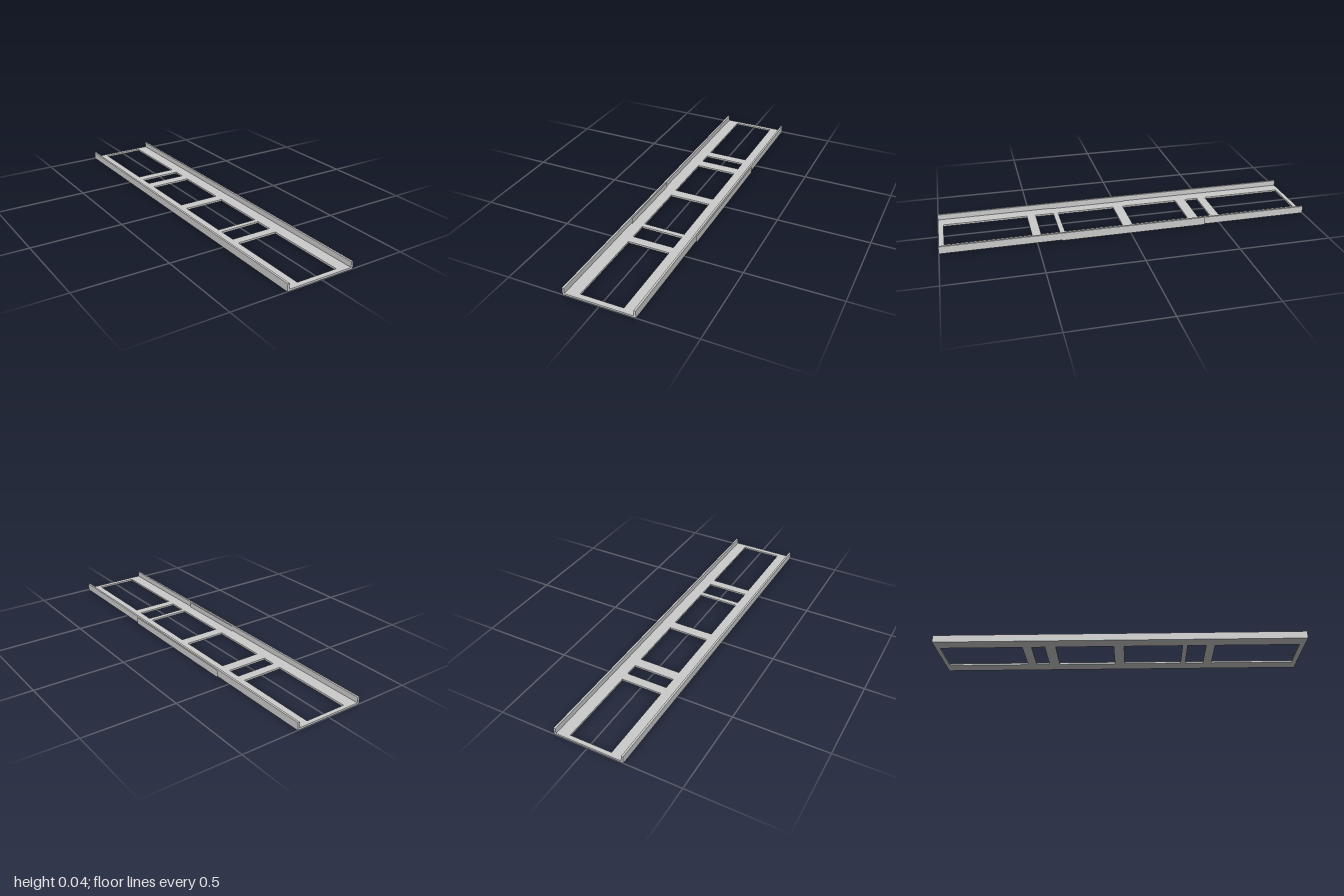
import * as THREE from 'three';

const LEFT = -0.196, RIGHT = 0.188, WALL = 0.011, HEIGHT = 0.04, FLOOR = 0.01;

export function createModel() {
  const group = new THREE.Group();
  const material = new THREE.MeshStandardMaterial({ color: 0xcccccc, flatShading: true });

  const add = (name, geometry, x = 0, y = 0, z = 0) => {
    const mesh = new THREE.Mesh(geometry, material);
    mesh.name = name;
    mesh.position.set(x, y, z);
    group.add(mesh);
  };

  // Trace a rectangle in plan; shape y becomes -z once laid flat
  const rect = (path, x0, x1, z0, z1) => {
    path.moveTo(x0, -z1);
    path.lineTo(x1, -z1);
    path.lineTo(x1, -z0);
    path.lineTo(x0, -z0);
    path.closePath();
    return path;
  };

  // Floor plate with six rectangular windows along its length
  const plate = rect(new THREE.Shape(), LEFT + WALL, RIGHT - WALL, -1, 1);
  const windows = [
    [-0.977, -0.527], [-0.477, -0.404], [-0.345, -0.03],
    [0.026, 0.343], [0.37, 0.47], [0.518, 0.972],
  ];
  for (const [z0, z1] of windows) {
    plate.holes.push(rect(new THREE.Path(), -0.118, 0.112, z0, z1));
  }
  const floor = new THREE.ExtrudeGeometry(plate, { depth: FLOOR, bevelEnabled: false });
  floor.rotateX(-Math.PI / 2);
  add('floorPlate', floor);

  // Upright side rails
  const rail = new THREE.BoxGeometry(WALL, HEIGHT, 2);
  add('rightRail', rail, LEFT + WALL / 2, HEIGHT / 2);
  add('leftRail', rail, RIGHT - WALL / 2, HEIGHT / 2);

  // Thin one-sided panels standing just off the rails, facing +x
  const panel = (name, x, z0, z1) => {
    const sheet = new THREE.PlaneGeometry(z1 - z0, HEIGHT).rotateY(Math.PI / 2);
    add(name, sheet, x, HEIGHT / 2, (z0 + z1) / 2);
  };
  panel('outerPanel', 0.195, -0.415, 0.37);
  panel('innerPanel', -0.179, -0.045, 0.37);

  return group;
}
